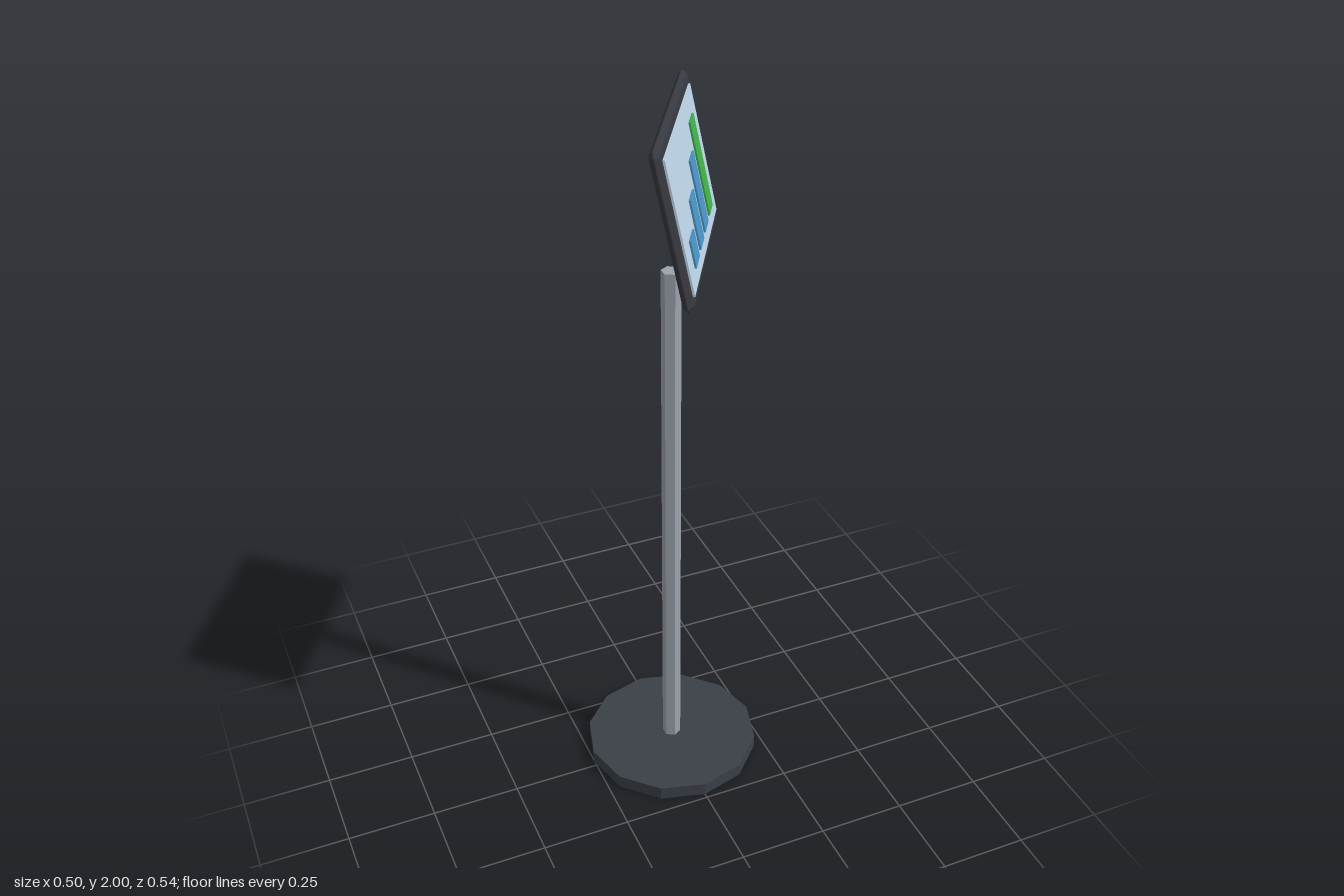
import * as THREE from 'three';

const paint = (color) => new THREE.MeshStandardMaterial({ color, flatShading: true });

function addMesh(parent, name, geometry, material, x, y, z) {
  const mesh = new THREE.Mesh(geometry, material);
  mesh.name = name;
  mesh.position.set(x, y, z);
  parent.add(mesh);
  return mesh;
}

// Box with every edge cut by a flat chamfer c, centred on its origin
function chamferBox(w, h, d, c) {
  const x = w / 2 - c, y = h / 2 - c, k = c * 0.6;
  const shape = new THREE.Shape([
    [-x + k, -y], [x - k, -y], [x, -y + k], [x, y - k],
    [x - k, y], [-x + k, y], [-x, y - k], [-x, -y + k],
  ].map(([px, py]) => new THREE.Vector2(px, py)));
  const geometry = new THREE.ExtrudeGeometry(shape, {
    depth: d - 2 * c, bevelEnabled: true, bevelThickness: c, bevelSize: c, bevelSegments: 1,
  });
  return geometry.translate(0, 0, -(d / 2 - c));
}

export function createModel() {
  const model = new THREE.Group();
  model.name = 'displayStand';

  const baseDark = paint(0x3b4048);
  const frameDark = paint(0x36383f);
  const metal = paint(0x9da3ad);
  const glass = paint(0xbdd5e8);
  const blue = paint(0x4a94c8);
  const green = paint(0x40b04c);

  // Foot and pole
  const axisZ = -0.016;
  addMesh(model, 'base', new THREE.CylinderGeometry(0.252, 0.252, 0.04, 12), baseDark, 0, 0.02, axisZ);
  addMesh(model, 'pole', new THREE.CylinderGeometry(0.0265, 0.0265, 1.54, 6), metal, 0, 0.81, axisZ);

  // Head: turned 60 degrees to the side and leaning back 12 degrees
  const yaw = Math.PI / 3, forward = 0.035;
  const head = new THREE.Group();
  head.name = 'displayHead';
  head.position.set(forward * Math.sin(yaw), 1.8025, axisZ + forward * Math.cos(yaw));
  head.rotation.set(-Math.PI / 15, yaw, 0, 'YXZ');
  model.add(head);

  addMesh(head, 'frame', chamferBox(0.568, 0.404, 0.025, 0.011), frameDark, 0, 0, 0);
  addMesh(head, 'screen', new THREE.BoxGeometry(0.504, 0.341, 0.01), glass, 0, 0, 0.0128);
  addMesh(head, 'mountBlock', chamferBox(0.09, 0.113, 0.05, 0.008), frameDark, 0, -0.157, -0.033);

  // Bar chart raised from the screen
  for (let i = 0; i < 4; i++) {
    const height = 0.07 + i * 0.0587;
    addMesh(head, 'chartBar' + (i + 1), new THREE.BoxGeometry(0.069, height, 0.01),
      i === 3 ? green : blue, (i - 1.5) * 0.1013, -0.129 + height / 2, 0.0178);
  }

  return model;
}
